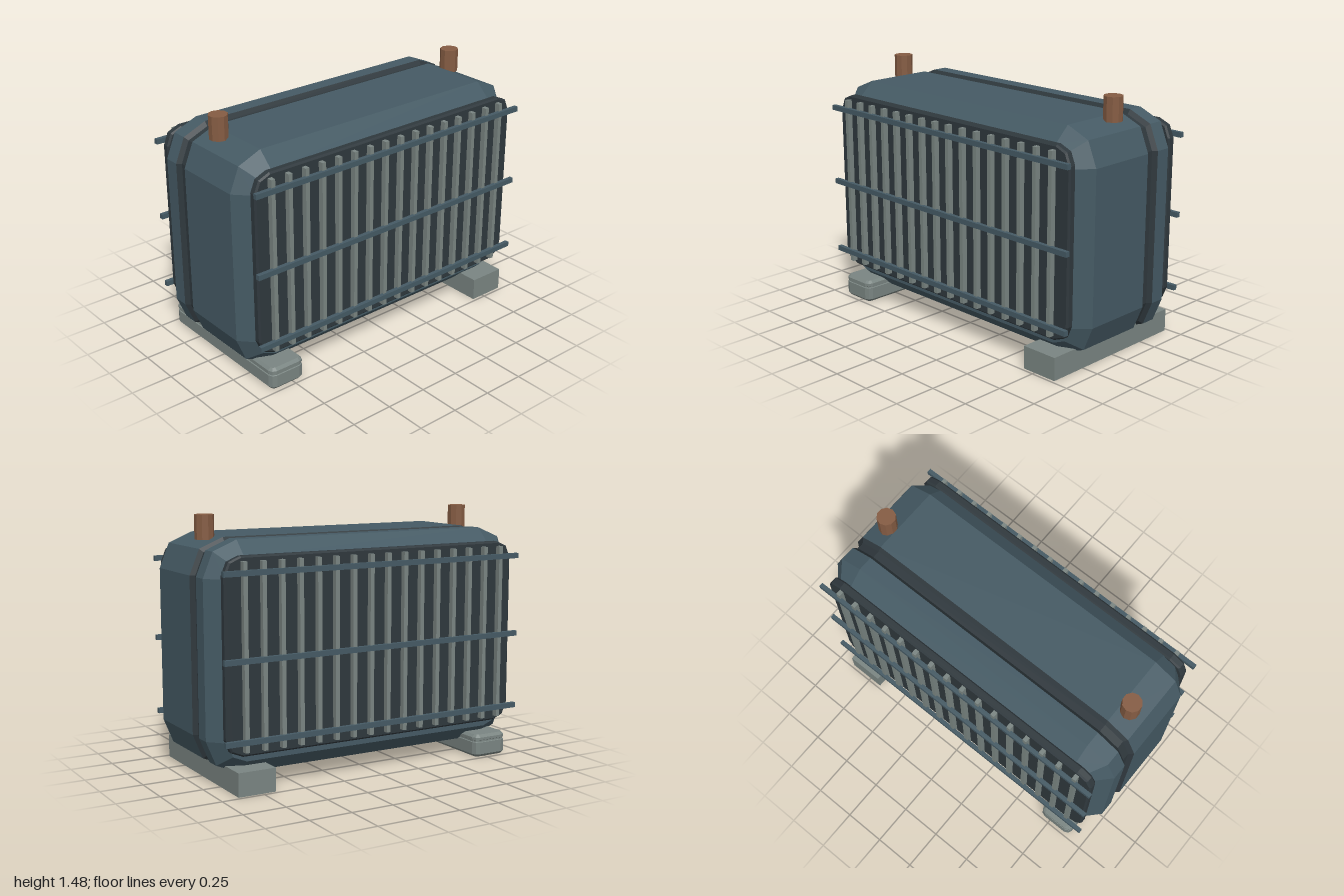
import * as THREE from 'three';

const mat = (name, color) => {
  const m = new THREE.MeshStandardMaterial({ color });
  m.name = name;
  m.flatShading = true;
  return m;
};

// Rectangle with two-step rounded corners, counter-clockwise
function outline(w, h, r, inset) {
  const hw = w / 2 - inset, hh = h / 2 - inset, rr = Math.max(r - inset, 0.005);
  const pts = [];
  [[1, 1], [-1, 1], [-1, -1], [1, -1]].forEach(([sx, sy], q) => {
    for (let k = 0; k <= 2; k++) {
      const a = (q + k / 2) * Math.PI / 2;
      pts.push([sx * (hw - rr) + rr * Math.cos(a), sy * (hh - rr) + rr * Math.sin(a)]);
    }
  });
  return pts;
}

// Skin rounded rectangles along z; sections are [z, inset] in rising z
function loft(w, h, r, sections, caps = true) {
  const rings = sections.map(([z, inset]) => outline(w, h, r, inset).map(([x, y]) => [x, y, z]));
  const n = rings[0].length, pos = [];
  const tri = (a, b, c) => pos.push(...a, ...b, ...c);
  for (let k = 0; k < rings.length - 1; k++) {
    for (let i = 0; i < n; i++) {
      const j = (i + 1) % n;
      tri(rings[k][i], rings[k][j], rings[k + 1][j]);
      tri(rings[k][i], rings[k + 1][j], rings[k + 1][i]);
    }
  }
  if (caps) {
    const first = rings[0], last = rings[rings.length - 1];
    for (let i = 1; i < n - 1; i++) {
      tri(first[0], first[i + 1], first[i]);
      tri(last[0], last[i], last[i + 1]);
    }
  }
  const g = new THREE.BufferGeometry();
  g.setAttribute('position', new THREE.Float32BufferAttribute(pos, 3));
  g.computeVertexNormals();
  return g;
}

export function createModel() {
  const root = new THREE.Group();
  root.name = 'radiatorTank';
  const steel = mat('blueGreySteel', 0x455a64);
  const dark = mat('darkSteel', 0x2f383d);
  const grey = mat('lightGrey', 0x7a8582);
  const copper = mat('copperBrown', 0x855c43);

  const add = (name, geo, material, x, y, z, parent = root) => {
    const m = new THREE.Mesh(geo, material);
    m.name = name;
    m.position.set(x, y, z);
    parent.add(m);
    return m;
  };

  // Bevelled housing in two halves, joined by a recessed dark band
  const W = 2, H = 1.285, R = 0.2, cy = 0.7225;
  add('housingFront', loft(W, H, R, [[-0.125, 0], [0.3, 0], [0.39, 0.085]]), steel, 0, cy, 0);
  add('housingBack', loft(W, H, R, [[-0.39, 0.085], [-0.3, 0], [-0.21, 0]]), steel, 0, cy, 0);
  add('seamBand', loft(W, H, R,
    [[-0.21, 0], [-0.19, 0.025], [-0.145, 0.025], [-0.125, 0]], false), dark, 0, cy, 0);

  // Front and back grilles: dark panel, vertical fins, horizontal rails
  const panelGeo = loft(1.88, 1.085, 0.1,
    [[-0.025, 0.01], [-0.015, 0], [0.015, 0], [0.025, 0.01]]);
  const finGeo = new THREE.BoxGeometry(0.025, 1.03, 0.038);
  const railGeo = new THREE.BoxGeometry(1.93, 0.03, 0.025);
  for (const s of [1, -1]) {
    const grille = new THREE.Group();
    grille.name = s > 0 ? 'frontGrille' : 'backGrille';
    root.add(grille);
    add('grillePanel', panelGeo, dark, 0, 0.7475, s * 0.411, grille);
    for (let i = 0; i < 16; i++) {
      add('fin', finGeo, grey, -0.845 + i * 0.1117, 0.748, s * 0.449, grille);
    }
    for (const y of [0.293, 0.735, 1.203]) add('rail', railGeo, steel, 0, y, s * 0.47, grille);
  }

  // Pipe stubs on top
  const pipeGeo = new THREE.CylinderGeometry(0.055, 0.055, 0.138, 10);
  for (const s of [1, -1]) add(s > 0 ? 'leftPipe' : 'rightPipe', pipeGeo, copper, s * 0.853, 1.414, 0);

  // Feet: a plain block, and a bevelled one with a groove
  add('leftFoot', new THREE.BoxGeometry(0.225, 0.135, 0.964), grey, 0.783, 0.0675, 0);
  const footGeo = loft(0.225, 0.964, 0.035, [
    [0, 0.015], [0.016, 0], [0.089, 0], [0.092, 0.005],
    [0.101, 0.005], [0.104, 0], [0.119, 0], [0.135, 0.015],
  ]);
  footGeo.rotateX(-Math.PI / 2);
  add('rightFoot', footGeo, grey, -0.787, 0, 0);

  return root;
}
